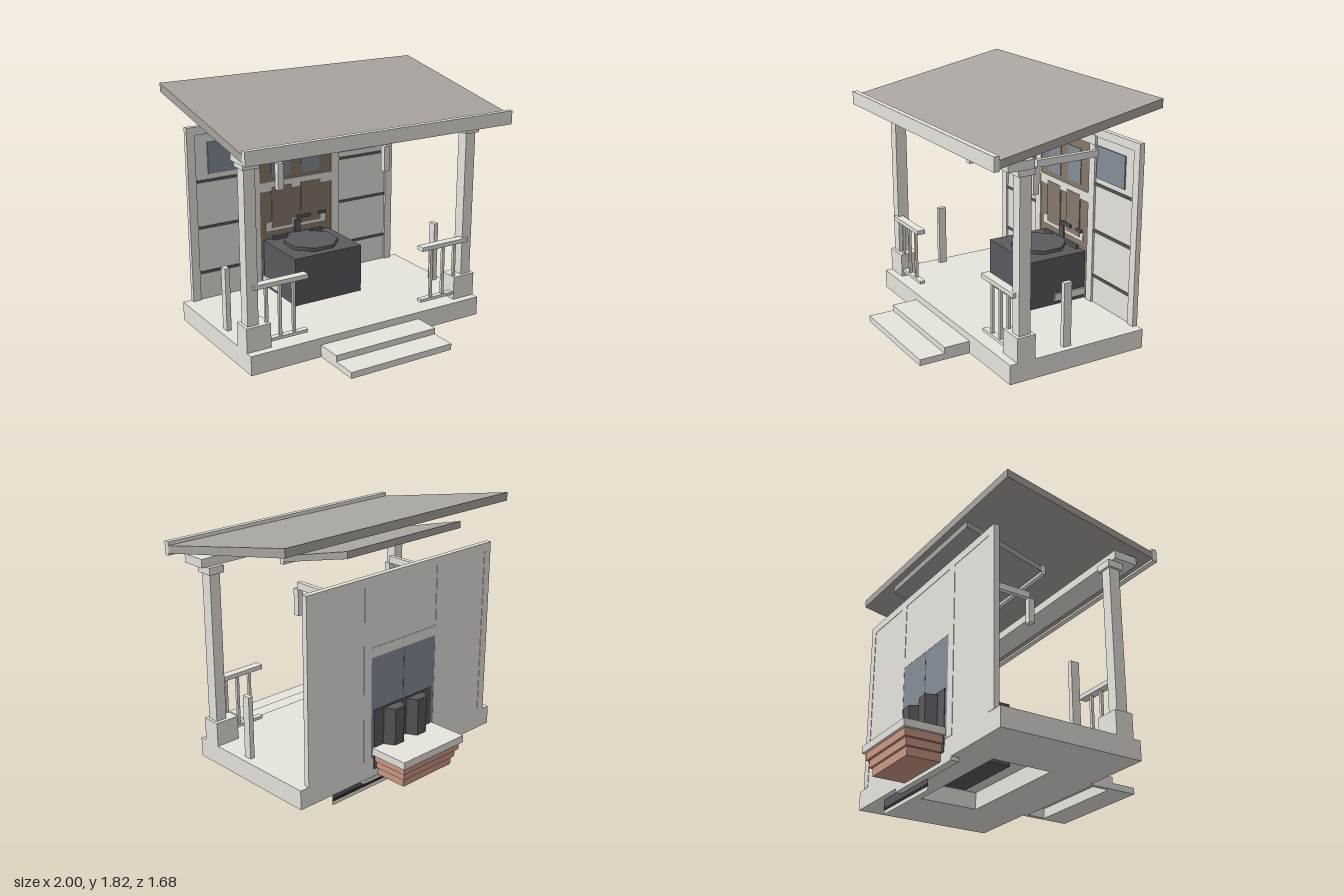
import * as THREE from 'three';

const mat = (name, color) => {
  const m = new THREE.MeshStandardMaterial({ color });
  m.name = name;
  return m;
};

export function createModel() {
  const light = mat('pale plaster', 0xe6e4dd);
  const roof = mat('roof grey', 0xa9a4a0);
  const dark = mat('charcoal', 0x5a5a5f);
  const black = mat('black', 0x2b2b2e);
  const brown = mat('door brown', 0x88796b);
  const glass = mat('glass blue grey', 0x848f98);
  const brick = mat('brick', 0xcc9886);
  dark.side = black.side = light.side = THREE.DoubleSide;
  const model = new THREE.Group();
  model.name = 'porch';

  const add = (name, geo, m) => {
    const mesh = new THREE.Mesh(geo, m);
    mesh.name = name;
    model.add(mesh);
    return mesh;
  };
  // box given by its limits along each axis
  const box = (name, m, x0, x1, y0, y1, z0, z1) =>
    add(name, new THREE.BoxGeometry(x1 - x0, y1 - y0, z1 - z0)
      .translate((x0 + x1) / 2, (y0 + y1) / 2, (z0 + z1) / 2), m);
  // the same box on both sides of x = 0
  const pair = (name, m, x0, x1, ...rest) => {
    box(name + 'Left', m, x0, x1, ...rest);
    box(name + 'Right', m, -x1, -x0, ...rest);
  };
  const points = pts => pts.map(p => new THREE.Vector2(...p));
  // side profile of [z, y] points swept along x
  const sweep = (name, m, pts, width) => {
    const geo = new THREE.ExtrudeGeometry(new THREE.Shape(points(pts)), { depth: width, bevelEnabled: false });
    add(name, geo.rotateY(-Math.PI / 2).translate(width / 2, 0, 0), m);
  };
  // plan outline of [x, -z] points raised from y0 to y1
  const raise = (name, m, pts, y0, y1, hole) => {
    const shape = new THREE.Shape(points(pts));
    if (hole) shape.holes.push(new THREE.Path(points(hole)));
    const geo = new THREE.ExtrudeGeometry(shape, { depth: y1 - y0, bevelEnabled: false });
    return add(name, geo.rotateX(-Math.PI / 2).translate(0, y0, 0), m);
  };
  // rectangle in plan, front edge zf and back edge zb
  const rect = (x, zf, zb) => [[-x, -zf], [x, -zf], [x, -zb], [-x, -zb]];

  // deck and front steps, hollow underneath
  raise('deckFrame', light, rect(0.91, 0.475, -0.55), 0.105, 0.225, rect(0.45, 0.12, -0.31));
  raise('deckFloor', light, rect(0.91, 0.475, -0.55), 0.225, 0.24);
  raise('upperStepFrame', light, rect(0.395, 0.66, 0.475), 0.105, 0.175, rect(0.365, 0.64, 0.5));
  raise('upperStepTread', light, rect(0.395, 0.66, 0.475), 0.175, 0.191);
  raise('lowerStep', light, rect(0.395, 0.84, 0.66), 0.105, 0.149);

  // roofs with front fascias
  sweep('mainRoof', roof, [[0.605, 1.54], [0.605, 1.592], [-0.553, 1.815], [-0.553, 1.757]], 2);
  box('mainFascia', light, -1, 1, 1.526, 1.618, 0.602, 0.64);
  sweep('lowerRoof', roof, [[0.04, 1.505], [0.04, 1.545], [-0.553, 1.70], [-0.553, 1.653]], 1.03);
  box('lowerFascia', light, -0.515, 0.515, 1.487, 1.558, 0.037, 0.068);

  // columns and beam
  pair('columnBase', light, 0.735, 0.91, 0.24, 0.408, 0.29, 0.422);
  pair('column', light, 0.812, 0.89, 0.408, 1.438, 0.317, 0.4);
  pair('columnCap', light, 0.79, 0.905, 1.438, 1.488, 0.3, 0.42);
  box('beam', light, -0.94, 0.94, 1.488, 1.547, 0.33, 0.51);

  // railings
  pair('topRail', light, 0.455, 0.85, 0.653, 0.683, 0.36, 0.42);
  pair('bottomRail', light, 0.455, 0.8, 0.273, 0.295, 0.37, 0.41);
  for (const x of [0.55, 0.652, 0.75])
    pair('baluster', light, x - 0.01, x + 0.01, 0.295, 0.653, 0.38, 0.4);
  pair('sidePost', light, 0.833, 0.867, 0.24, 0.68, -0.005, 0.053);

  // wall with trims on both faces, its back flush with the deck
  box('wall', light, -0.84, 0.84, 0.24, 1.49, -0.55, -0.53);
  pair('cornerTrim', light, 0.785, 0.845, 0.24, 1.497, -0.553, -0.515);
  pair('doorJamb', light, 0.3, 0.365, 0.24, 1.45, -0.553, -0.515);
  box('topTrim', light, -0.845, 0.845, 1.44, 1.497, -0.553, -0.515);
  box('doorHeader', light, -0.375, 0.375, 1.38, 1.448, -0.525, -0.507);
  box('doorMidRail', light, -0.3, 0.3, 0.955, 1.023, -0.553, -0.516);
  for (const y of [0.439, 0.771, 1.106])
    pair('wallGroove', dark, 0.365, 0.785, y - 0.01, y + 0.01, -0.53, -0.524);
  pair('sideWindow', glass, 0.38, 0.69, 1.153, 1.378, -0.53, -0.521);

  // door, its panes and panels
  box('doorLower', brown, -0.3, 0.3, 0.24, 0.955, -0.53, -0.522);
  box('doorUpper', brown, -0.3, 0.3, 1.023, 1.385, -0.53, -0.522);
  pair('doorPane', glass, 0.048, 0.2, 1.058, 1.31, -0.522, -0.518);
  box('doorBand', light, -0.25, 0.245, 0.653, 0.718, -0.522, -0.518);
  pair('doorPanel', brown, 0.038, 0.205, 0.673, 0.983, -0.519, -0.513);
  box('rearGlazing', glass, -0.3, 0.3, 0.24, 0.955, -0.5515, -0.545);
  box('rearGlazingBar', dark, -0.003, 0.003, 0.24, 0.955, -0.5525, -0.551);

  // brackets reaching out from the wall
  pair('bracketArm', light, 0.408, 0.442, 1.318, 1.366, -0.49, -0.01);
  pair('bracketDrop', light, 0.402, 0.445, 1.136, 1.318, -0.022, 0.022);

  // tub through the wall and deck, with octagonal lid and tap
  box('tub', dark, -0.272, 0.272, 0.16, 0.588, -0.556, -0.068);
  add('tubLid', new THREE.CylinderGeometry(0.197, 0.197, 0.025, 8)
    .rotateY(Math.PI / 8).translate(0, 0.6, -0.31), dark);
  box('tapBase', dark, -0.205, 0.205, 0.585, 0.613, -0.513, -0.49);
  box('tapStem', dark, -0.025, 0.025, 0.59, 0.708, -0.513, -0.5);
  box('tapSpout', dark, 0, 0.112, 0.713, 0.736, -0.513, -0.5);
  box('tapHandle', dark, 0.182, 0.245, 0.716, 0.736, -0.513, -0.5);

  // rear ledge on corbelled brick courses
  box('rearLedge', light, -0.286, 0.286, 0.267, 0.318, -0.84, -0.27);
  [[0.105, 0.163, 0.785, 0.23], [0.163, 0.216, 0.802, 0.248], [0.216, 0.267, 0.82, 0.266]]
    .forEach(([y0, y1, z, x]) => box('brickCourse', brick, -x, x, y0, y1, -z, -0.54));

  // tapered uprights standing on the ledge
  for (const s of [-1, 1])
    raise('rearUpright', dark, [[-0.078, 0.545], [0.078, 0.545], [0.078, 0.56], [0.042, 0.627],
      [-0.042, 0.627], [-0.078, 0.56]], 0.318, 0.578).position.x = s * 0.107;

  // sill and thin vent strips below the deck
  box('underSill', light, -0.36, 0.36, 0.078, 0.105, -0.553, -0.495);
  for (const [name, m, y0, y1] of [['ventTop', dark, 0.05, 0.105], ['ventSlot', black, 0.025, 0.05],
    ['ventLip', light, 0, 0.025]])
    add(name, new THREE.PlaneGeometry(0.605, y1 - y0).translate(0.3025, (y0 + y1) / 2, -0.508), m);

  return model;
}
